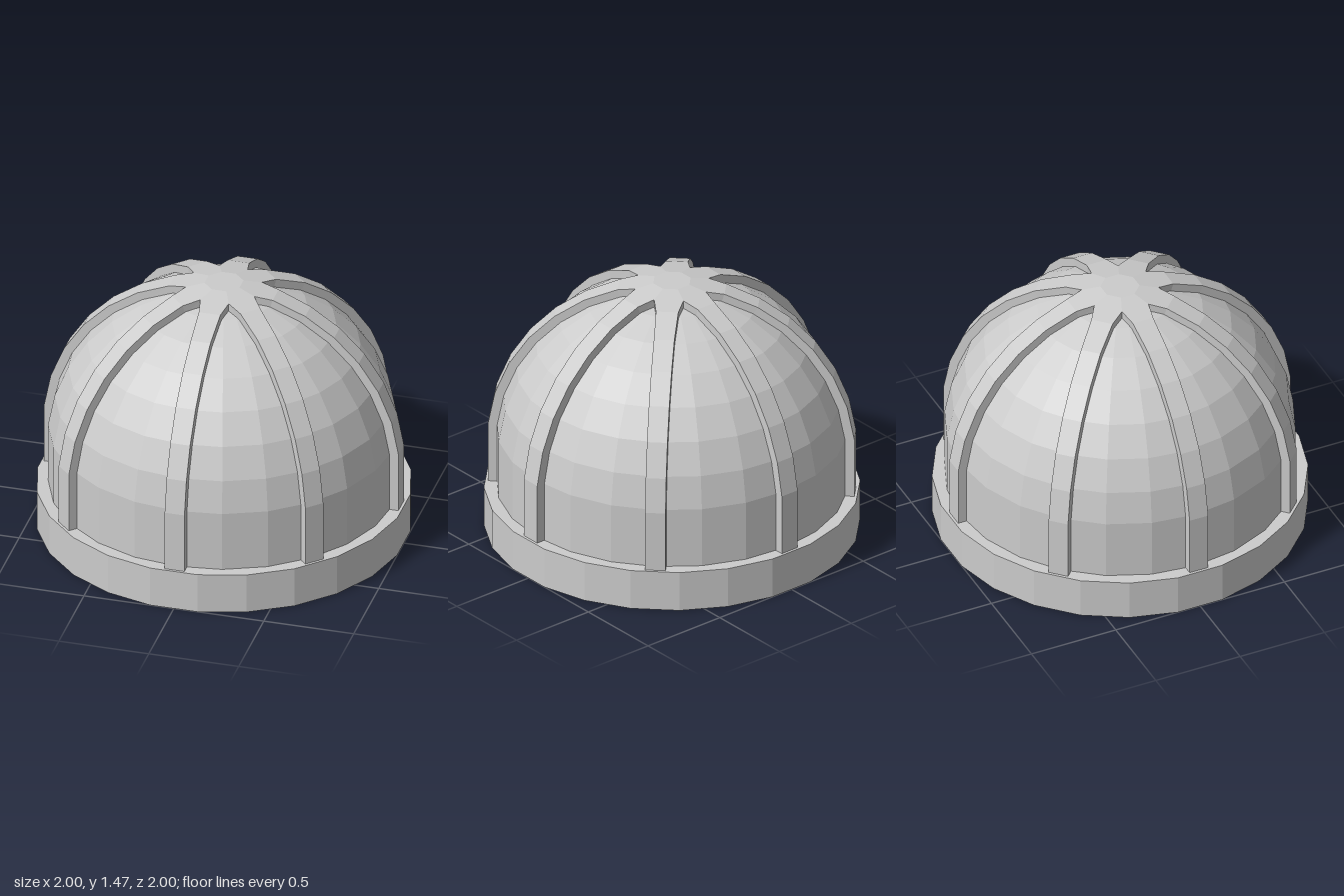
import * as THREE from 'three';

const SIDES = 24, RIBS = 8, CENTRE_Y = 0.48;
const BASE_H = 0.23, FOOT_Y = 0.2, RIB_HALF = 0.055;
const DOME_R = 0.947, RIB_R = 0.99;

const material = new THREE.MeshStandardMaterial({ color: 0xcccccc, flatShading: true });

function addMesh(parent, name, geometry) {
  const mesh = new THREE.Mesh(geometry, material);
  mesh.name = name;
  parent.add(mesh);
  return mesh;
}

// Eight points of the round part of the profile, from the top ring down
function arc(radius) {
  const points = [];
  for (let k = 7; k >= 0; k--) {
    const a = THREE.MathUtils.degToRad(5.625 + 11.25 * k);
    points.push(new THREE.Vector2(radius * Math.cos(a), CENTRE_Y + radius * Math.sin(a)));
  }
  return points;
}

// One rib along +x, with its eighth of the joined hub at the crown
function ribGeometry() {
  const tan = Math.tan(Math.PI / RIBS);
  const [cap, ...rest] = arc(RIB_R);
  const stations = [
    { r: 0, y: cap.y, w: 0 },
    { r: cap.x, y: cap.y, w: cap.x * tan },
    { r: 0.19, y: THREE.MathUtils.lerp(cap.y, rest[0].y, 0.49), w: 0.19 * tan },
    ...rest.map((p, i) => ({ r: p.x, y: p.y, w: i === 0 ? 0.06 : RIB_HALF })),
  ];
  stations.push({ r: rest[rest.length - 1].x, y: FOOT_Y, w: RIB_HALF });

  const vertices = [];
  const quad = (a, b, c, d) => vertices.push(...a, ...b, ...c, ...a, ...c, ...d);
  const outer = (s, side) => [s.r, s.y, side * s.w];
  // Foot of the side wall, just below the dome surface
  const inner = (s, side) => {
    const f = (DOME_R - 0.02) / RIB_R;
    const y = s.y > CENTRE_Y ? CENTRE_Y + (s.y - CENTRE_Y) * f : s.y;
    return [s.r * f, y, side * s.w];
  };
  for (let i = 0; i < stations.length - 1; i++) {
    const s = stations[i], t = stations[i + 1];
    if (i === 0) vertices.push(...outer(s, 1), ...outer(t, 1), ...outer(t, -1));
    else quad(outer(s, -1), outer(s, 1), outer(t, 1), outer(t, -1));
    // Side walls begin where neighbouring ribs part
    if (i >= 2) {
      quad(outer(s, 1), inner(s, 1), inner(t, 1), outer(t, 1));
      quad(outer(s, -1), outer(t, -1), inner(t, -1), inner(s, -1));
    }
  }
  const geometry = new THREE.BufferGeometry();
  geometry.setAttribute('position', new THREE.Float32BufferAttribute(vertices, 3));
  geometry.computeVertexNormals();
  return geometry;
}

export function createModel() {
  const model = new THREE.Group();
  model.name = 'ribbedDome';

  // Base drum, with flats facing the axes
  const baseR = 1 / Math.cos(Math.PI / SIDES);
  const base = addMesh(model, 'base',
    new THREE.CylinderGeometry(baseR, baseR, BASE_H, SIDES, 1, false, Math.PI / SIDES));
  base.position.y = BASE_H / 2;

  // Faceted dome on a straight wall
  const ring = arc(DOME_R).reverse();
  const profile = [
    new THREE.Vector2(ring[0].x, FOOT_Y),
    ...ring,
    new THREE.Vector2(0, ring[ring.length - 1].y),
  ];
  addMesh(model, 'dome', new THREE.LatheGeometry(profile, SIDES));

  // Raised ribs meeting at the crown
  const ribs = new THREE.Group();
  ribs.name = 'ribs';
  const geometry = ribGeometry();
  for (let i = 0; i < RIBS; i++) {
    addMesh(ribs, `rib${i + 1}`, geometry).rotation.y = (i * 2 * Math.PI) / RIBS;
  }
  model.add(ribs);
  return model;
}
